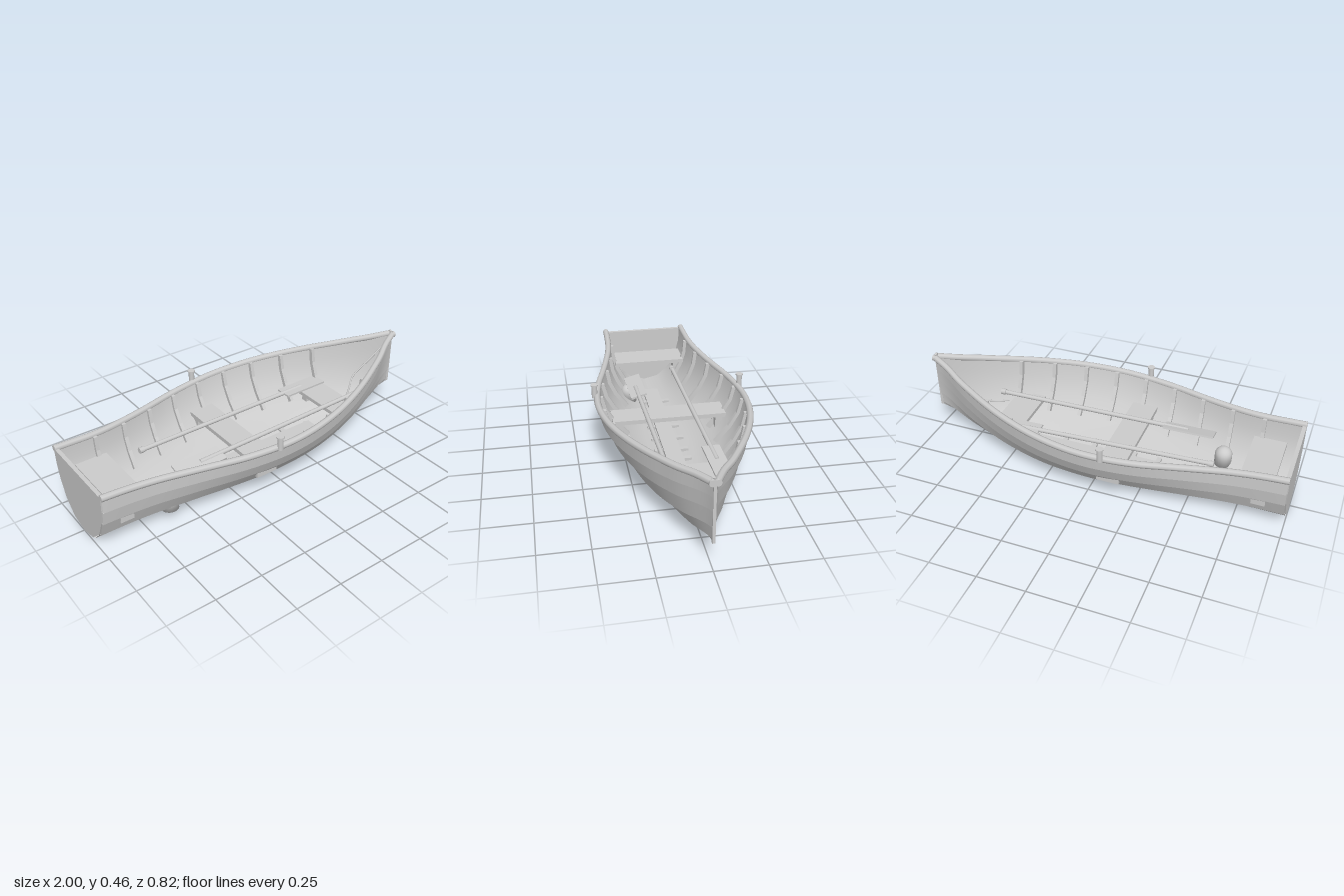
import * as THREE from 'three';

const GREY = new THREE.MeshStandardMaterial({ color: 0xcccccc });
const THIN = new THREE.MeshStandardMaterial({ color: 0xcccccc, side: THREE.DoubleSide });

// Hull lines at nine stations from stern (x = -1) to bow (x = 1)
const BEAM = [0.235, 0.248, 0.298, 0.358, 0.382, 0.35, 0.266, 0.142, 0.006];
const SHEER = [0.348, 0.336, 0.33, 0.332, 0.342, 0.36, 0.383, 0.412, 0.45];
const KEEL = [0.003, 0.003, 0.003, 0.003, 0.003, 0.004, 0.026, 0.075, 0.143];
// Plank edges as fractions of beam and height, amidships and at the stern
const WIDTH = [0, 0.34, 0.64, 0.835, 0.95, 1];
const STERN_WIDTH = [0, 0.4, 0.72, 0.9, 0.98, 1];
const HEIGHT = [0, 0.06, 0.26, 0.53, 0.76, 1];

// Smooth lookup in a station table
function line(table, x) {
  const u = THREE.MathUtils.clamp((x + 1) * 4, 0, 8);
  const i = Math.min(7, Math.floor(u)), t = u - i;
  const at = k => table[THREE.MathUtils.clamp(k, 0, 8)];
  const [a, b, c, d] = [at(i - 1), at(i), at(i + 1), at(i + 2)];
  return b + 0.5 * t * (c - a + t * (2 * a - 5 * b + 4 * c - d + t * (3 * (b - c) + d - a)));
}

// Point [z, y] on plank edge i at station x, moved inward by inset
function edge(x, i, inset = 0) {
  const aft = THREE.MathUtils.clamp((-0.3 - x) / 0.7, 0, 1);
  const k = Math.max(0.003, line(KEEL, x));
  const z = line(BEAM, x) * THREE.MathUtils.lerp(WIDTH[i], STERN_WIDTH[i], aft);
  const y = k + (line(SHEER, x) - k) * HEIGHT[i];
  return [Math.max(0, z - inset), y + inset * (1 - HEIGHT[i])];
}

// Lower edge of an overlapping plank; the lap fades out at the bow
function lap(x, i) {
  const [z, y] = edge(x, i);
  const s = i ? 0.008 * THREE.MathUtils.clamp((0.95 - x) / 0.3, 0, 1) : 0;
  return [z + s, y - s * 0.4];
}

// Skin through rows of (x) => [z, y] running stern to bow
function loft(rows, side, inward) {
  const n = 64, pos = [], idx = [];
  for (const row of rows) {
    for (let j = 0; j <= n; j++) {
      const x = -0.995 + (1.985 * j) / n;
      const [z, y] = row(x);
      pos.push(x, y, z * side);
    }
  }
  for (let r = 0; r < rows.length - 1; r++) {
    for (let j = 0; j < n; j++) {
      const a = r * (n + 1) + j, b = a + 1, c = b + n + 1, d = a + n + 1;
      if ((side > 0) !== inward) idx.push(a, b, c, a, c, d);
      else idx.push(a, c, b, a, d, c);
    }
  }
  const g = new THREE.BufferGeometry();
  g.setAttribute('position', new THREE.Float32BufferAttribute(pos, 3));
  g.setIndex(idx);
  g.computeVertexNormals();
  return g;
}

// Extrude a [z, y] outline along x, centred on the given x
function slab(points, x, depth) {
  const shape = new THREE.Shape(points.map(p => new THREE.Vector2(p[0], p[1])));
  const g = new THREE.ExtrudeGeometry(shape, { depth, bevelEnabled: false });
  return g.rotateY(-Math.PI / 2).translate(x + depth / 2, 0, 0);
}

export function createModel() {
  const boat = new THREE.Group();
  boat.name = 'rowingBoat';
  const add = (name, geometry, material = GREY, parent = boat) => {
    const m = new THREE.Mesh(geometry, material);
    m.name = name;
    parent.add(m);
    return m;
  };
  // Box given by its limits
  const box = (name, x0, x1, y0, y1, z0, z1) => add(name,
    new THREE.BoxGeometry(x1 - x0, y1 - y0, z1 - z0)
      .translate((x0 + x1) / 2, (y0 + y1) / 2, (z0 + z1) / 2));

  const ids = [0, 1, 2, 3, 4, 5];
  for (const side of [1, -1]) {
    // Overlapping planks with a small lip under each
    for (let i = 0; i < 5; i++) {
      add('plank', loft([x => lap(x, i), x => edge(x, i + 1)], side, false));
      if (i) add('plankLip', loft([x => edge(x, i), x => lap(x, i)], side, false), THIN);
    }
    add('innerSkin', loft(ids.map(i => x => edge(x, i, 0.012)), side, true));

    // Gunwale rail
    const path = [];
    for (let j = 0; j <= 20; j++) {
      const x = -1 + 1.985 * j / 20;
      path.push(new THREE.Vector3(x, line(SHEER, x), side * (line(BEAM, x) + 0.001)));
    }
    add('gunwale', new THREE.TubeGeometry(new THREE.CatmullRomCurve3(path), 60, 0.017, 8), THIN);
    for (const p of [path[0], path[20]]) {
      add('gunwaleEnd', new THREE.CylinderGeometry(0.017, 0.017, 0.012, 8).rotateZ(Math.PI / 2))
        .position.set(p.x + (p.x < 0 ? 0.006 : 0.008), p.y, p.z);
    }

    // Ribs against the inner skin
    for (let k = 0; k < 9; k++) {
      const x = -0.79 + k * 0.171;
      const up = [2, 3, 4, 5];
      const outer = up.map(i => edge(x, i, 0.008)), inner = up.map(i => edge(x, i, 0.03)).reverse();
      add('rib', slab([...outer, ...inner].map(([z, y]) => [z * side, y]), x, 0.02));
    }

    // Rowlock pin with cap
    const pin = new THREE.Group();
    pin.name = 'rowlock';
    pin.position.set(-0.12, 0, side * 0.39);
    add('rowlockPin', new THREE.CylinderGeometry(0.015, 0.015, 0.07, 12).translate(0, 0.365, 0), GREY, pin);
    add('rowlockCap', new THREE.CylinderGeometry(0.02, 0.02, 0.007, 12).translate(0, 0.401, 0), GREY, pin);
    boat.add(pin);

    // Seat brackets
    for (const [x0, x1, y0, y1, a, b] of [
      [-0.9, -0.83, 0.135, 0.215, 0.16, 0.205],
      [-0.18, -0.06, 0.12, 0.19, 0.25, 0.288],
      [0.475, 0.57, 0.12, 0.19, 0.12, 0.157]]) {
      box('seatBracket', x0, x1, y0, y1, Math.min(a * side, b * side), Math.max(a * side, b * side));
    }
  }

  // Transom closing the stern, and the stem post
  const half = ids.map(i => edge(-1, i));
  add('transom', slab([...half, ...half.slice(1).reverse().map(([z, y]) => [-z, y])], -0.99, 0.02));
  add('stemPost', new THREE.BoxGeometry(0.016, 0.31, 0.014)).position.set(0.985, 0.3, 0);

  // Seats
  box('sternSeat', -0.92, -0.75, 0.213, 0.235, -0.205, 0.205);
  box('middleSeat', -0.19, -0.05, 0.187, 0.21, -0.305, 0.305);
  const bow = new THREE.Shape([[0.43, -0.19], [0.5, -0.19], [0.59, -0.15], [0.59, 0.15], [0.5, 0.19], [0.43, 0.19]]
    .map(p => new THREE.Vector2(...p)));
  add('bowSeat', new THREE.ExtrudeGeometry(bow, { depth: 0.02, bevelEnabled: false })
    .rotateX(-Math.PI / 2).translate(0, 0.185, 0));

  // Floor plank and cross timbers
  box('floorPlank', -0.75, 0.43, 0.035, 0.05, -0.045, 0.045);
  for (const x of [-0.6, -0.43, -0.28, -0.14, -0.01, 0.09, 0.26, 0.42]) {
    box('floorTimber', x - 0.013, x + 0.013, 0.025, 0.042, -0.09, 0.09);
  }

  // Oars, built along +x from grip to blade tip
  const oar = (from, to) => {
    const a = new THREE.Vector3(...from), b = new THREE.Vector3(...to);
    const g = new THREE.Group(), len = a.distanceTo(b);
    g.name = 'oar';
    const rod = (name, r, x0, x1) => add(name,
      new THREE.CylinderGeometry(r, r, x1 - x0, 10).rotateZ(Math.PI / 2).translate((x0 + x1) / 2, 0, 0), GREY, g);
    rod('oarGrip', 0.016, 0, 0.025);
    rod('oarShaft', 0.012, 0.02, len - 0.14);
    add('oarBlade', new THREE.BoxGeometry(0.27, 0.01, 0.09).translate(len - 0.135, 0, 0), GREY, g);
    g.position.copy(a);
    g.quaternion.setFromUnitVectors(new THREE.Vector3(1, 0, 0), b.sub(a).normalize());
    boat.add(g);
  };
  oar([-0.615, 0.243, -0.11], [0.585, 0.221, -0.145]);
  // The second oar faces aft
  oar([0.66, 0.236, 0.108], [-0.555, 0.232, 0.138]);

  // Domed float on the floor
  const dome = [[0, 0.055], [0.046, 0.055], [0.046, 0.115]];
  for (let k = 1; k <= 6; k++) {
    const t = k * Math.PI / 12;
    dome.push([0.046 * Math.cos(t), 0.115 + 0.045 * Math.sin(t)]);
  }
  add('float', new THREE.LatheGeometry(dome.map(p => new THREE.Vector2(Math.max(0, p[0]), p[1])), 20))
    .position.set(-0.61, 0, 0.15);

  // Bow line
  const rope = new THREE.CatmullRomCurve3([[0.6, 0.21, 0.075], [0.66, 0.22, 0.03], [0.73, 0.25, -0.018],
    [0.85, 0.33, -0.01], [0.975, 0.42, 0]].map(p => new THREE.Vector3(...p)));
  add('bowLine', new THREE.TubeGeometry(rope, 24, 0.005, 6));

  return boat;
}
